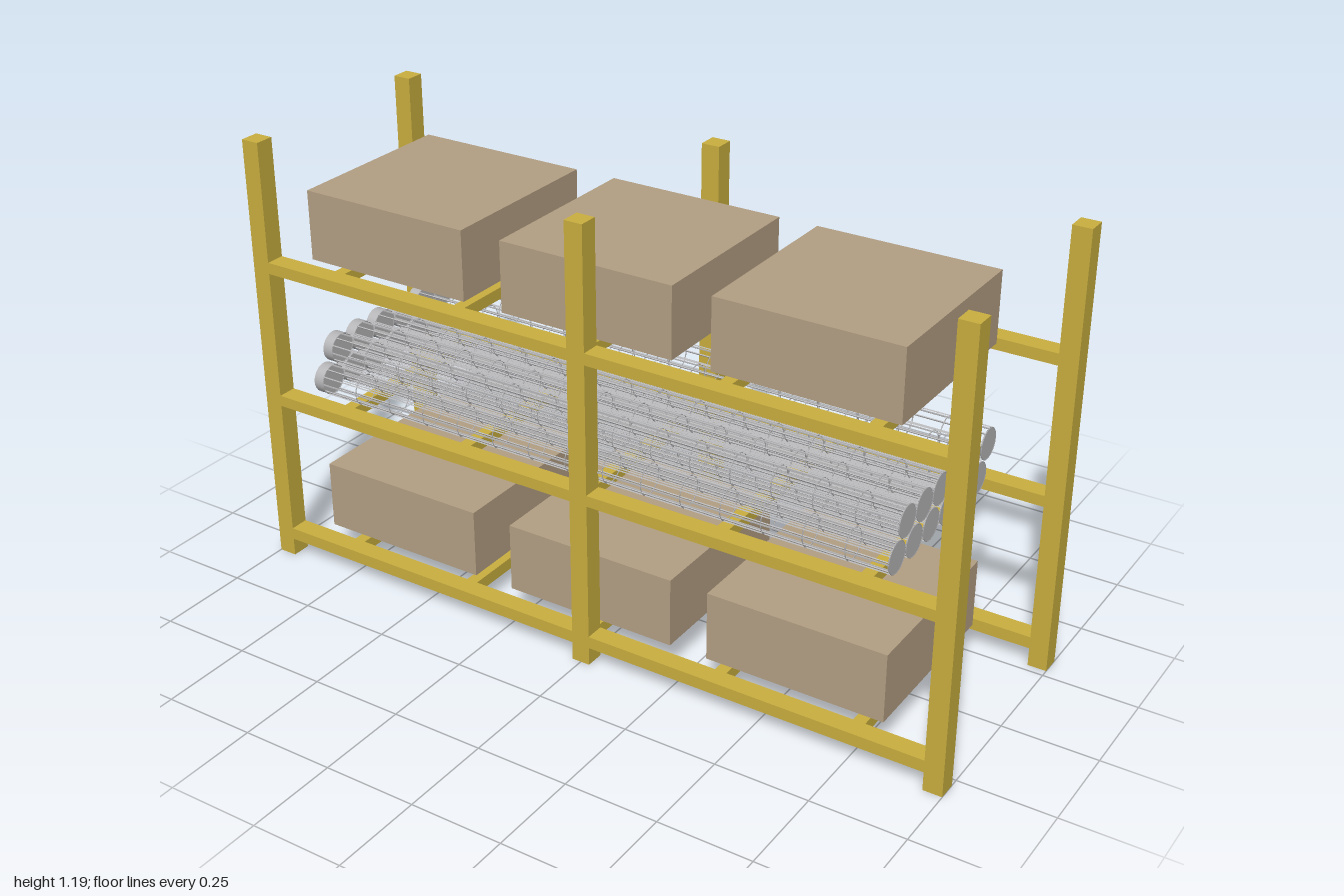
import * as THREE from 'three';

export function createModel() {
  const model = new THREE.Group();
  const gold = new THREE.MeshStandardMaterial({ name: 'goldPaint', color: 0xc9ae3f });
  const tan = new THREE.MeshStandardMaterial({ name: 'cardboard', color: 0xb39f83 });
  const grey = new THREE.MeshStandardMaterial({ name: 'steel', color: 0xb5b5b7 });

  const add = (parent, name, geometry, material, x, y, z) => {
    const mesh = new THREE.Mesh(geometry, material);
    mesh.name = name;
    mesh.position.set(x, y, z);
    parent.add(mesh);
    return mesh;
  };
  // Box given by its minimum and maximum on each axis
  const box = (parent, name, material, x0, x1, y0, y1, z0, z1) =>
    add(parent, name, new THREE.BoxGeometry(x1 - x0, y1 - y0, z1 - z0), material,
      (x0 + x1) / 2, (y0 + y1) / 2, (z0 + z1) / 2);

  // Rack frame: six posts, long rails and cross bars on three levels
  const frame = new THREE.Group();
  frame.name = 'rackFrame';
  model.add(frame);
  const levels = [[0.05, 0.083], [0.458, 0.488], [0.837, 0.868]];
  for (const side of [-1, 1]) {
    const z0 = side * 0.298 - 0.026, z1 = side * 0.298 + 0.026;
    for (const x of [-0.975, 0, 0.975]) {
      box(frame, 'post', gold, x - 0.025, x + 0.025, 0, 1.19, z0, z1);
    }
    for (const [y0, y1] of levels) {
      box(frame, 'rail', gold, -0.95, -0.025, y0, y1, z0, z1);
      box(frame, 'rail', gold, 0.025, 0.95, y0, y1, z0, z1);
    }
  }
  for (const [y0, y1] of levels) {
    for (const x of [-0.756, -0.378, 0, 0.378, 0.756]) {
      box(frame, 'crossBar', gold, x - 0.016, x + 0.016, y0, y1, -0.272, 0.272);
    }
  }

  // Cartons on the bottom and top levels
  for (const y of [0.083, 0.868]) {
    for (const x of [-0.6275, -0.0275, 0.5625]) {
      box(model, 'carton', tan, x - 0.2425, x + 0.2425, y, y + 0.188, -0.245, 0.245);
    }
  }

  // Wire mesh roll: lengthwise wires, hoops, a drum cap and an end disc
  const R = 0.0405, X0 = -0.84, X1 = 0.808, WIRES = 12, HOOPS = 16;
  const wireGeo = new THREE.BoxGeometry(X1 - X0, 0.003, 0.003);
  const hoopGeo = new THREE.TorusGeometry(R, 0.0015, 4, 24).rotateY(Math.PI / 2);
  const capGeo = new THREE.CylinderGeometry(R, R, 0.03, 24).rotateZ(Math.PI / 2);
  const discGeo = new THREE.CylinderGeometry(R, R, 0.003, 24).rotateZ(Math.PI / 2);
  const addRoll = (y, z) => {
    const roll = new THREE.Group();
    roll.name = 'wireRoll';
    roll.position.set(0, y, z);
    model.add(roll);
    for (let i = 0; i < WIRES; i++) {
      const a = (i / WIRES) * Math.PI * 2;
      const wire = add(roll, 'lengthWire', wireGeo, grey, (X0 + X1) / 2, R * Math.cos(a), R * Math.sin(a));
      wire.rotation.x = a;
    }
    for (let i = 0; i < HOOPS; i++) {
      add(roll, 'hoopWire', hoopGeo, grey, X0 + ((X1 - X0) * i) / (HOOPS - 1), 0, 0);
    }
    add(roll, 'drumCap', capGeo, grey, -0.855, 0, 0);
    add(roll, 'endDisc', discGeo, grey, X1 - 0.001, 0, 0);
  };

  // Two staggered layers of six rolls on the middle level
  for (let i = 0; i < 6; i++) {
    addRoll(0.53, 0.235 - i * 0.0865);
    addRoll(0.604, 0.192 - i * 0.0865);
  }
  return model;
}
